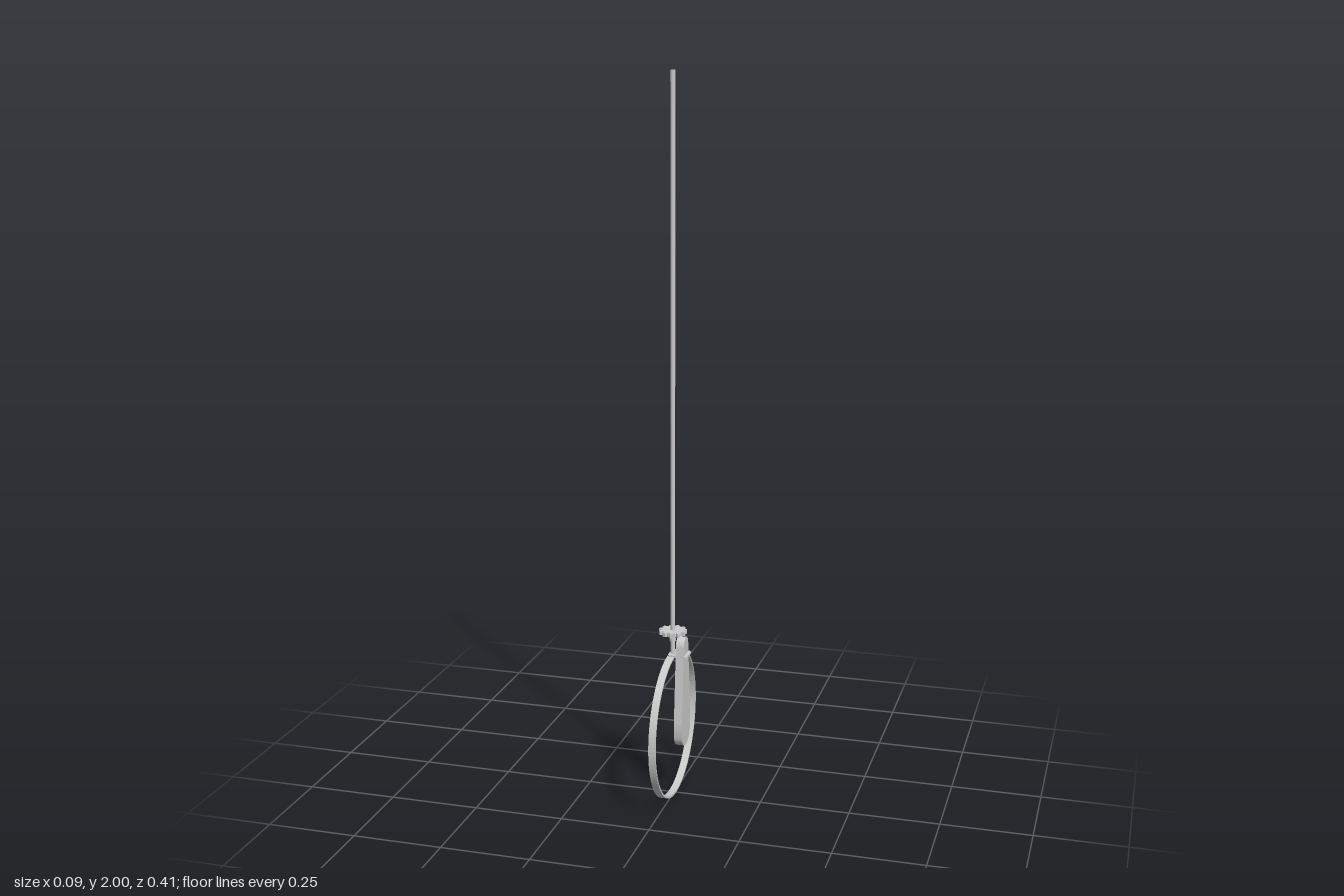
import * as THREE from 'three';

const AXIS = -0.004; // x of the rod, gear and hoop

export function createModel() {
  const group = new THREE.Group();
  const material = new THREE.MeshStandardMaterial({ color: 0xcccccc });
  const add = (name, geometry, x, y, z = 0) => {
    const mesh = new THREE.Mesh(geometry, material);
    mesh.name = name;
    mesh.position.set(x, y, z);
    group.add(mesh);
    return mesh;
  };
  const extrude = (shape, depth, curveSegments = 16) =>
    new THREE.ExtrudeGeometry(shape, { depth, bevelEnabled: false, curveSegments });

  // Long thin rod reaching down to the hoop
  add('rod', new THREE.CylinderGeometry(0.0065, 0.0065, 1.587, 16), AXIS, 1.2065);
  add('collar', new THREE.CylinderGeometry(0.009, 0.009, 0.008, 16), AXIS, 0.456);

  // Toothed disc, lying flat around the rod
  const teeth = 11, step = (Math.PI * 2) / teeth, outline = [];
  for (let i = 0; i < teeth; i++) {
    for (const [r, a] of [[0.032, -0.32], [0.039, -0.18], [0.039, 0.18], [0.032, 0.32]]) {
      const t = Math.PI + (i + a) * step;
      outline.push(new THREE.Vector2(r * Math.cos(t), r * Math.sin(t)));
    }
  }
  add('toothedDisc', extrude(new THREE.Shape(outline), 0.011).rotateX(-Math.PI / 2), AXIS, 0.474);

  // Flat-band hoop: a circle with a hole, extruded along x
  const band = new THREE.Shape().absarc(0, 0, 0.2075, 0, Math.PI * 2);
  band.holes.push(new THREE.Path().absarc(0, 0, 0.2025, 0, Math.PI * 2, true));
  add('hoop', extrude(band, 0.02, 48).translate(0, 0, -0.01).rotateY(Math.PI / 2), AXIS, 0.2075);

  // Paddle-shaped tag: narrow rounded top, wide rounded bottom
  const tag = new THREE.Shape();
  tag.moveTo(0.023, 0.436);
  tag.bezierCurveTo(0.023, 0.477, -0.023, 0.477, -0.023, 0.436);
  tag.lineTo(-0.042, 0.235);
  tag.quadraticCurveTo(-0.0455, 0.21, -0.041, 0.182);
  tag.bezierCurveTo(-0.035, 0.138, 0.035, 0.138, 0.041, 0.182);
  tag.quadraticCurveTo(0.0455, 0.21, 0.042, 0.235);
  tag.closePath();
  add('tag', extrude(tag, 0.023).rotateY(Math.PI / 2), 0.011, 0);

  // Flat link with clipped corners joining the tag to the hoop
  const clippedRect = (w, d, c) => [
    [w, d - c], [w - c, d], [c - w, d], [-w, d - c], [-w, c - d], [c - w, -d], [w - c, -d], [w, c - d],
  ].map(([x, y]) => new THREE.Vector2(x, y));
  const link = new THREE.Shape(clippedRect(0.028, 0.025, 0.005));
  link.holes.push(new THREE.Path(clippedRect(0.019, 0.016, 0.003).reverse()));
  add('link', extrude(link, 0.006).rotateX(-Math.PI / 2), 0.015, 0.412);

  return group;
}
